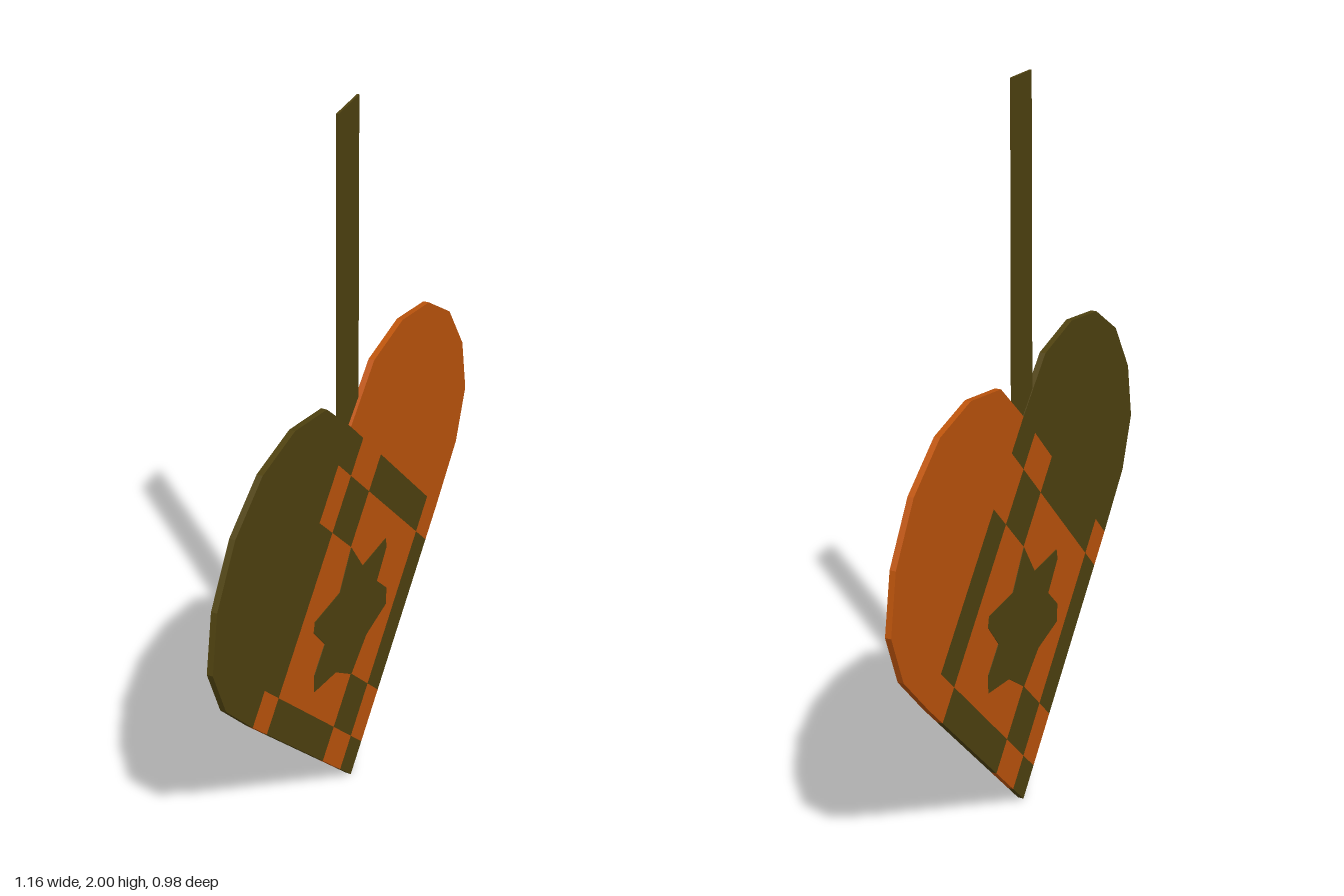
import * as THREE from 'three';

const DARK = 0x4f4210, ORANGE = 0xbd540c;
const SIDE = 0.562;           // half diagonal of the woven square
const THICK = 0.016, MID = -0.004;

const materials = {};
function material(color) {
  materials[color] ??= new THREE.MeshStandardMaterial({ color, flatShading: true });
  return materials[color];
}

// Flat plate cut from an outline, centred on depth z
function plate(name, points, color, thickness = THICK, z = MID) {
  const shape = new THREE.Shape(points.map(([x, y]) => new THREE.Vector2(x, y)));
  const geometry = new THREE.ExtrudeGeometry(shape, { depth: thickness, bevelEnabled: false });
  geometry.translate(0, 0, z - thickness / 2);
  const mesh = new THREE.Mesh(geometry, material(color));
  mesh.name = name;
  return mesh;
}

// Position inside the weave: a runs to the right corner, b to the left corner
const weavePoint = (a, b) => [(a - b) * SIDE, (a + b) * 0.56];

export function createModel() {
  const group = new THREE.Group();
  group.name = 'wovenHeart';

  // Rounded lobes, mirrored
  const lobe = [[0, 1.12], [0.137, 1.243], [0.31, 1.275], [0.48, 1.245], [0.622, 1.15],
    [0.72, 1.005], [0.751, 0.845], [0.693, 0.7], [SIDE, 0.56]];
  group.add(plate('orangeLobe', lobe, ORANGE));
  group.add(plate('darkLobe', lobe.map(([x, y]) => [-x, y]), DARK));

  // Woven checks: rows run along b, letters along a
  const cuts = [0, 0.12, 0.31, 0.675, 0.87, 1];
  const rows = ['DODDO', 'ODOOD', 'DOOOD', 'DOODO', 'ODDOD'];
  const weave = new THREE.Group();
  weave.name = 'weave';
  rows.forEach((row, j) => {
    for (let i = 0; i < 5; i++) {
      const [a0, a1, b0, b1] = [cuts[i], cuts[i + 1], cuts[j], cuts[j + 1]];
      const corners = [[a0, b0], [a1, b0], [a1, b1], [a0, b1]].map(([a, b]) => weavePoint(a, b));
      weave.add(plate('weaveCheck', corners, row[i] === 'D' ? DARK : ORANGE));
    }
  });
  group.add(weave);

  // Six-pointed star with clipped side points, showing on both faces
  const half = [[0, 0.755], [0.07, 0.655], [0.215, 0.655], [0.222, 0.625], [0.16, 0.55],
    [0.222, 0.49], [0.222, 0.437], [0.095, 0.415], [0, 0.345]];
  const star = [...half, ...half.slice(1, -1).reverse().map(([x, y]) => [-x, y])];
  group.add(plate('star', star, DARK, THICK + 0.003));

  // Hanging strap, tucked into the notch and leaning slightly forward
  const strap = plate('strap', [[-0.058, 1.04], [0.063, 1.04], [0.046, 2], [-0.067, 1.994]],
    DARK, 0.006, 0);
  const position = strap.geometry.attributes.position;
  for (let i = 0; i < position.count; i++) {
    if (position.getY(i) < 1.5) position.setZ(i, position.getZ(i) - 0.008);
  }
  strap.geometry.computeVertexNormals();
  group.add(strap);

  group.rotation.y = 0.7;
  return group;
}
